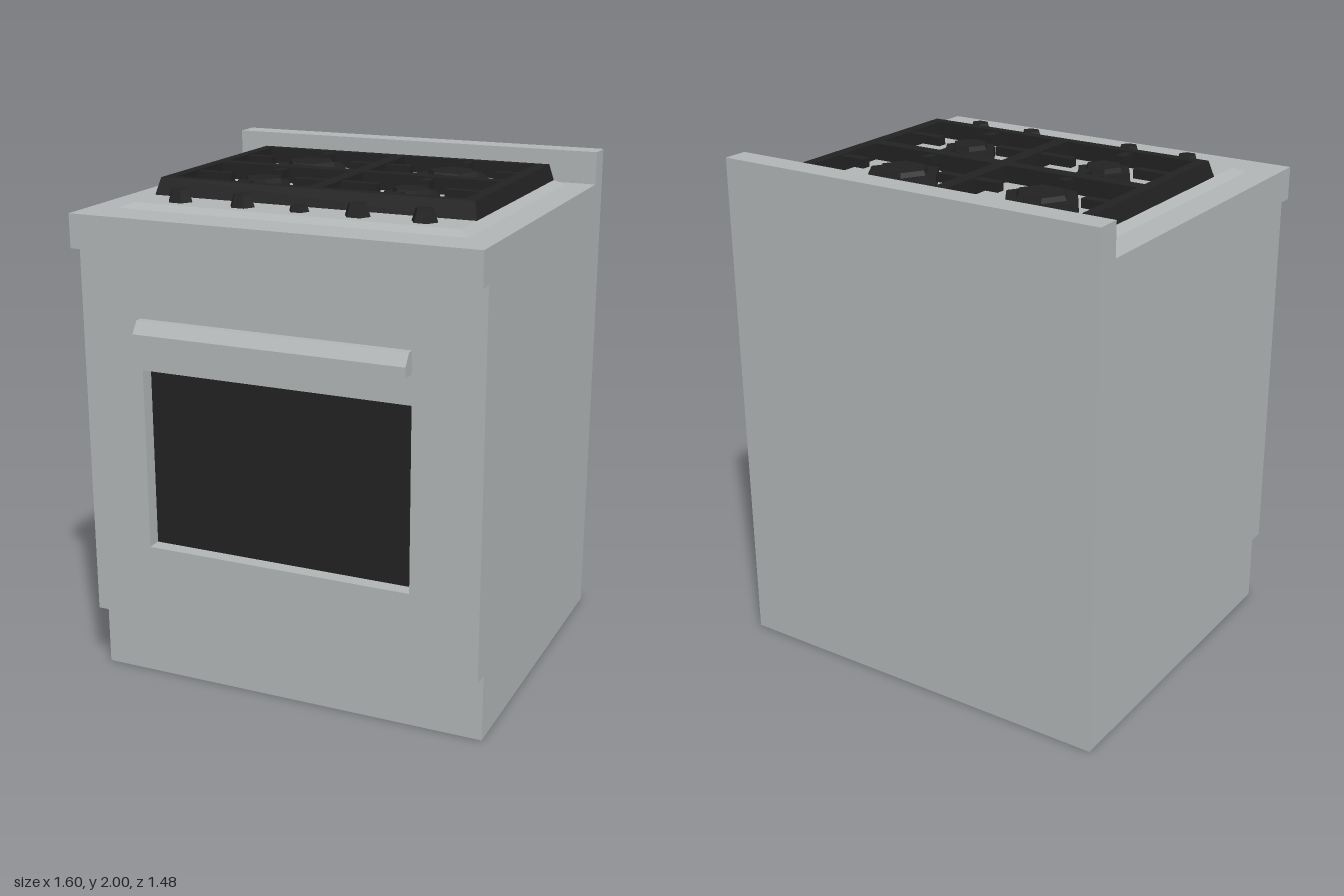
import * as THREE from 'three';

const steel = new THREE.MeshStandardMaterial({ color: 0xb0b4b4, flatShading: true });
steel.name = 'brushed steel';
const black = new THREE.MeshStandardMaterial({ color: 0x222222, flatShading: true });
black.name = 'black iron and glass';

const PLATE_Y = 1.89;
const GRATE_TOP = 1.955;

function add(parent, name, geometry, material, x = 0, y = 0, z = 0) {
  const mesh = new THREE.Mesh(geometry, material);
  mesh.name = name;
  mesh.position.set(x, y, z);
  parent.add(mesh);
  return mesh;
}

// Box given by its minimum and maximum corners
function addBox(parent, name, material, [x0, y0, z0], [x1, y1, z1]) {
  return add(parent, name, new THREE.BoxGeometry(x1 - x0, y1 - y0, z1 - z0), material,
    (x0 + x1) / 2, (y0 + y1) / 2, (z0 + z1) / 2);
}

// Side profile of [z, y] points swept from x0 to x1
function sweepX(points, x0, x1) {
  const shape = new THREE.Shape(points.map(([z, y]) => new THREE.Vector2(z, y)));
  return new THREE.ExtrudeGeometry(shape, { depth: x1 - x0, bevelEnabled: false })
    .rotateY(-Math.PI / 2).translate(x1, 0, 0);
}

function rect(Type, x0, y0, x1, y1) {
  return new Type([[x0, y0], [x1, y0], [x1, y1], [x0, y1]].map(([x, y]) => new THREE.Vector2(x, y)));
}

// Six-sided tapered disc with corners pointing along x
function hexDisc(rTop, rBottom, height) {
  return new THREE.CylinderGeometry(rTop, rBottom, height, 6)
    .rotateY(Math.PI / 2).scale(1, 1, 0.94).translate(0, height / 2, 0);
}

function buildCabinet(group) {
  // Body, overhanging worktop and rear upstand in one profile
  add(group, 'cabinet', sweepX([
    [-0.74, 0], [0.61, 0], [0.61, 1.74], [0.735, 1.74], [0.735, 1.87],
    [-0.64, 1.87], [-0.64, 2], [-0.74, 2],
  ], -0.8, 0.8), steel);

  // Oven door with a window opening
  const door = rect(THREE.Shape, -0.8, 0.265, 0.8, 1.74);
  door.holes.push(rect(THREE.Path, -0.55, 0.57, 0.53, 1.285));
  add(group, 'ovenDoor', new THREE.ExtrudeGeometry(door, { depth: 0.065, bevelEnabled: false }),
    steel, 0, 0, 0.61);
  addBox(group, 'ovenGlass', black, [-0.55, 0.57, 0.611], [0.53, 1.285, 0.617]);

  // Chamfered door handle
  add(group, 'doorHandle', sweepX([
    [0.67, 1.4], [0.737, 1.4], [0.737, 1.44], [0.705, 1.485], [0.67, 1.485],
  ], -0.55, 0.53), steel);
}

function buildCooktop(group) {
  // Raised plate with sloping edges: a box whose top is drawn in
  const plate = new THREE.BoxGeometry(1.375, 0.02, 1.17);
  const p = plate.attributes.position;
  for (let i = 0; i < p.count; i++) {
    if (p.getY(i) > 0) {
      p.setX(i, Math.sign(p.getX(i)) * 0.646);
      p.setZ(i, Math.sign(p.getZ(i)) * 0.55);
    }
  }
  plate.computeVertexNormals();
  add(group, 'cooktopPlate', plate, steel, 0, 1.88, -0.015);

  // Control knobs, the middle one small and low
  for (const x of [-0.49, -0.23, 0, 0.23, 0.485]) {
    const geometry = x === 0 ? hexDisc(0.034, 0.04, 0.02) : hexDisc(0.035, 0.05, 0.047);
    add(group, 'knob', geometry, black, x, PLATE_Y, 0.455);
  }
}

function buildGrate(group) {
  // Frame and cross bars as one slab with four openings
  const columns = [[-0.59, -0.03], [0.025, 0.585]];
  const rows = [[-0.51, -0.125], [-0.07, 0.31]];
  const frame = rect(THREE.Shape, -0.632, -0.35, 0.632, 0.545);
  for (const [x0, x1] of columns) {
    for (const [z0, z1] of rows) frame.holes.push(rect(THREE.Path, x0, -z1, x1, -z0));
  }
  const geometry = new THREE.ExtrudeGeometry(frame, { depth: GRATE_TOP - PLATE_Y, bevelEnabled: false })
    .rotateX(-Math.PI / 2);

  // Flare the outer walls towards the bottom
  const p = geometry.attributes.position;
  for (let i = 0; i < p.count; i++) {
    if (p.getY(i) > 0.01) continue;
    if (Math.abs(p.getX(i)) > 0.62) p.setX(i, Math.sign(p.getX(i)) * 0.648);
    if (p.getZ(i) > 0.34) p.setZ(i, 0.372);
    if (p.getZ(i) < -0.53) p.setZ(i, -0.563);
  }
  geometry.computeVertexNormals();
  add(group, 'grateFrame', geometry, black, 0, PLATE_Y, 0);

  // A burner in each opening, with four fingers reaching towards it
  const y0 = 1.915, y1 = 1.95, w = 0.019;
  for (const [x0, x1] of columns) {
    const cx = (x0 + x1) / 2;
    rows.forEach(([z0, z1], row) => {
      const cz = row === 0 ? -0.317 : 0.122;
      const r = row === 0 ? 0.155 : 0.115;
      const gapX = r + 0.02, gapZ = row === 0 ? 0.147 : 0.122;
      add(group, 'burnerBase', hexDisc(r * 0.97, r, 0.035), black, cx, PLATE_Y, cz);
      add(group, 'burnerCap', hexDisc(r * 0.62, r * 0.68, 0.018), black, cx, PLATE_Y + 0.035, cz);
      addBox(group, 'grateFinger', black, [x0, y0, cz - w], [cx - gapX, y1, cz + w]);
      addBox(group, 'grateFinger', black, [cx + gapX, y0, cz - w], [x1, y1, cz + w]);
      addBox(group, 'grateFinger', black, [cx - w, y0, z0], [cx + w, y1, cz - gapZ]);
      addBox(group, 'grateFinger', black, [cx - w, y0, cz + gapZ], [cx + w, y1, z1]);
    });
  }
}

export function createModel() {
  const model = new THREE.Group();
  model.name = 'gasStove';
  for (const [name, build] of [['cabinetGroup', buildCabinet], ['cooktop', buildCooktop], ['grate', buildGrate]]) {
    const group = new THREE.Group();
    group.name = name;
    build(group);
    model.add(group);
  }
  return model;
}
